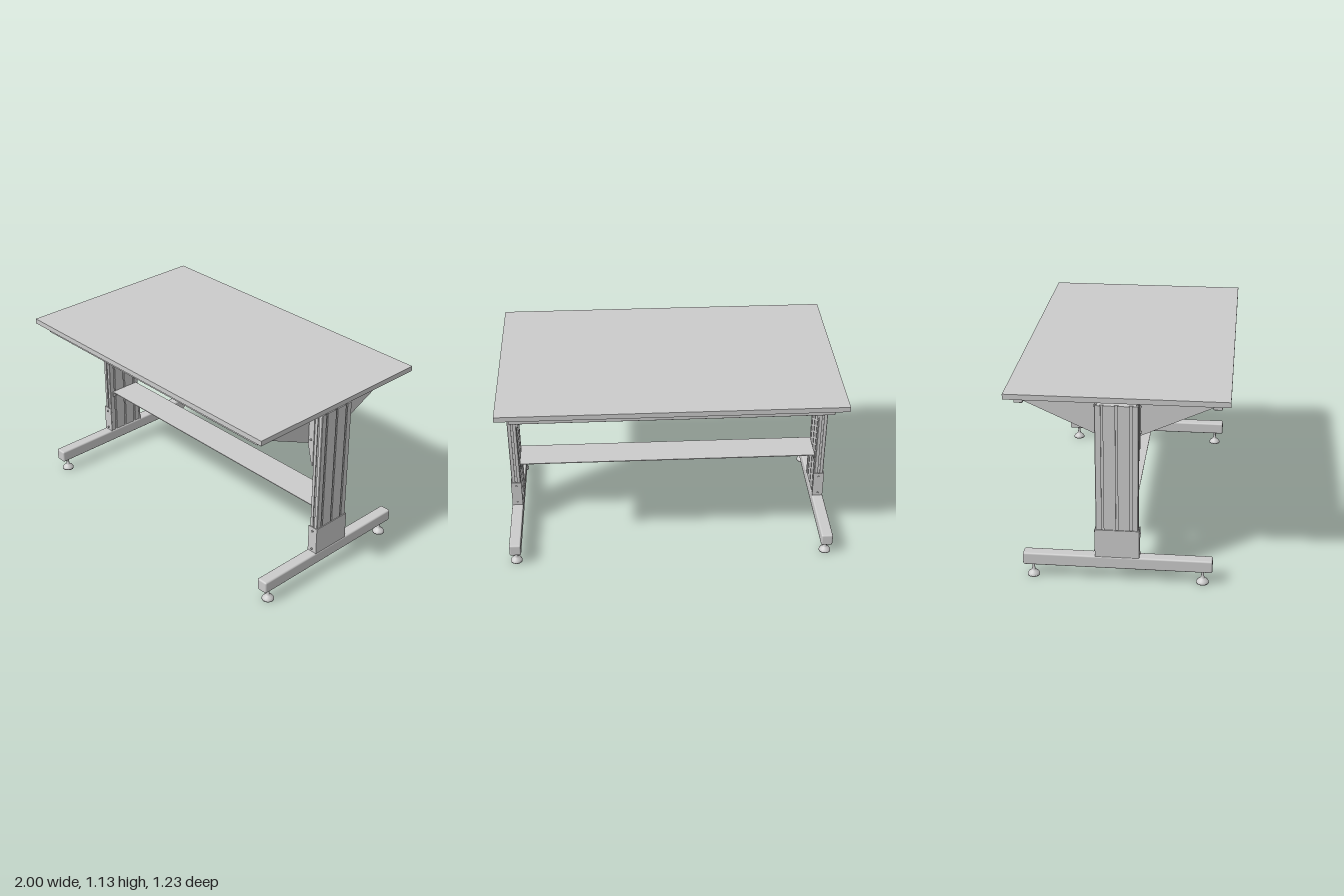
import * as THREE from 'three';
import { RoundedBoxGeometry } from 'three/addons/geometries/RoundedBoxGeometry.js';

const material = new THREE.MeshStandardMaterial({ color: 0xcccccc, roughness: 0.7 });

function add(parent, name, geometry, x = 0, y = 0, z = 0) {
  const mesh = new THREE.Mesh(geometry, material);
  mesh.name = name;
  mesh.position.set(x, y, z);
  parent.add(mesh);
  return mesh;
}

// Box given by its lower and upper limits
function block(parent, name, [x0, x1], [y0, y1], [z0, z1]) {
  return add(parent, name, new THREE.BoxGeometry(x1 - x0, y1 - y0, z1 - z0),
    (x0 + x1) / 2, (y0 + y1) / 2, (z0 + z1) / 2);
}

function plate(points, depth) {
  const shape = new THREE.Shape(points.map(([x, y]) => new THREE.Vector2(x, y)));
  return new THREE.ExtrudeGeometry(shape, { depth, bevelEnabled: false });
}

// Small bolt head along the x or z axis
function bolt(parent, axis, x, y, z) {
  const geometry = new THREE.CylinderGeometry(0.006, 0.006, 0.012, 10);
  if (axis === 'x') geometry.rotateZ(Math.PI / 2);
  else geometry.rotateX(Math.PI / 2);
  add(parent, 'bolt', geometry, x, y, z);
}

// Aluminium profile with T-slots: three on each broad side, one on each end
function columnGeometry(height) {
  const hx = 0.0275, hz = 0.12;
  const points = [];
  // Each side runs from its start corner along (dx, dz); (nx, nz) points inward
  const side = (sx, sz, dx, dz, nx, nz, slots) => {
    const put = (t, d) => points.push([sx + dx * t + nx * d, sz + dz * t + nz * d]);
    put(0.003, 0);
    for (const t of slots) {
      put(t - 0.006, 0); put(t - 0.006, 0.005);
      put(t - 0.012, 0.005); put(t - 0.012, 0.012);
      put(t + 0.012, 0.012); put(t + 0.012, 0.005);
      put(t + 0.006, 0.005); put(t + 0.006, 0);
    }
    put((dx ? hx : hz) * 2 - 0.003, 0);
  };
  const broad = [0.04, 0.12, 0.2];
  side(-hx, -hz, 1, 0, 0, 1, [hx]);
  side(hx, -hz, 0, 1, -1, 0, broad);
  side(hx, hz, -1, 0, 0, -1, [hx]);
  side(-hx, hz, 0, -1, 1, 0, broad);
  return plate(points, height).rotateX(-Math.PI / 2);
}

function levellingFoot() {
  const profile = [[0, 0], [0.036, 0], [0.036, 0.006], [0.03, 0.018], [0.016, 0.028],
    [0.011, 0.034], [0.008, 0.05], [0.008, 0.09]];
  return new THREE.LatheGeometry(profile.map(([r, y]) => new THREE.Vector2(r, y)), 20);
}

// One complete leg on the +x side
function createLeg() {
  const leg = new THREE.Group();

  add(leg, 'floorBeam', new RoundedBoxGeometry(0.07, 0.075, 1.08, 3, 0.01), 0.953, 0.1175, 0);
  add(leg, 'column', columnGeometry(0.925), 0.952, 0.155, 0);

  // U-shaped base bracket, open towards the inside
  block(leg, 'baseBracketPlate', [0.98, 0.985], [0.153, 0.325], [-0.126, 0.126]);

  for (const s of [-1, 1]) {
    const span = (a, b) => (s > 0 ? [a, b] : [-b, -a]);
    block(leg, 'baseBracketFlange', [0.92, 0.982], [0.153, 0.325], span(0.121, 0.126));
    for (const y of [0.175, 0.3]) bolt(leg, 'z', 0.952, y, s * 0.127);
    add(leg, 'levellingFoot', levellingFoot(), 0.953, 0, s * 0.485);

    // Triangular gusset wing under the top
    const wing = [[0.118, 1.1], [0.118, 0.868], [0.52, 1.052], [0.52, 1.1]].map(([z, y]) => [s * z, y]);
    add(leg, 'gussetWing', plate(wing, 0.006).rotateY(-Math.PI / 2), 0.886, 0, 0);

    // Tapered cheek joining the wing to the column
    const cheek = [[0.88, 1.1], [0.88, 0.88], [0.915, 0.735], [0.925, 0.735], [0.925, 1.1]];
    add(leg, 'gussetCheek', plate(cheek, 0.006), 0, 0, s * 0.12 - 0.003);

    for (const z of [0.18, 0.32, 0.46]) bolt(leg, 'x', 0.883, 1.075, s * z);
    bolt(leg, 'z', 0.905, 0.9, s * 0.124);
    bolt(leg, 'z', 0.905, 1.05, s * 0.124);
    bolt(leg, 'x', 0.917, 0.8, s * 0.08);
    bolt(leg, 'x', 0.915, 0.43, s * 0.08);
  }
  block(leg, 'gussetBackPlate', [0.919, 0.925], [0.735, 1.1], [-0.12, 0.12]);
  block(leg, 'gussetTopFlange', [0.88, 0.925], [1.094, 1.104], [-0.52, 0.52]);
  block(leg, 'shelfTab', [0.916, 0.922], [0.415, 0.45], [-0.1, 0.1]);
  return leg;
}

export function createModel() {
  const table = new THREE.Group();
  table.name = 'workbench';

  block(table, 'tabletop', [-1, 1], [1.104, 1.135], [-0.614, 0.614]);

  // Frame beneath the top
  for (const s of [-1, 1]) {
    add(table, 'longRail', new RoundedBoxGeometry(1.85, 0.049, 0.05, 2, 0.004), 0, 1.0795, s * 0.543);
  }
  block(table, 'centreBrace', [-0.02, 0.02], [1.096, 1.104], [-0.52, 0.52]);
  block(table, 'centreBraceWeb', [-0.02, -0.014], [1.065, 1.1], [-0.52, 0.52]);

  // Thin shelf between the columns
  block(table, 'shelf', [-0.922, 0.922], [0.446, 0.451], [-0.1, 0.1]);

  // Matching legs
  const leftLeg = createLeg();
  leftLeg.name = 'leftLeg';
  const rightLeg = createLeg();
  rightLeg.name = 'rightLeg';
  rightLeg.rotation.y = Math.PI;
  table.add(leftLeg, rightLeg);
  return table;
}
